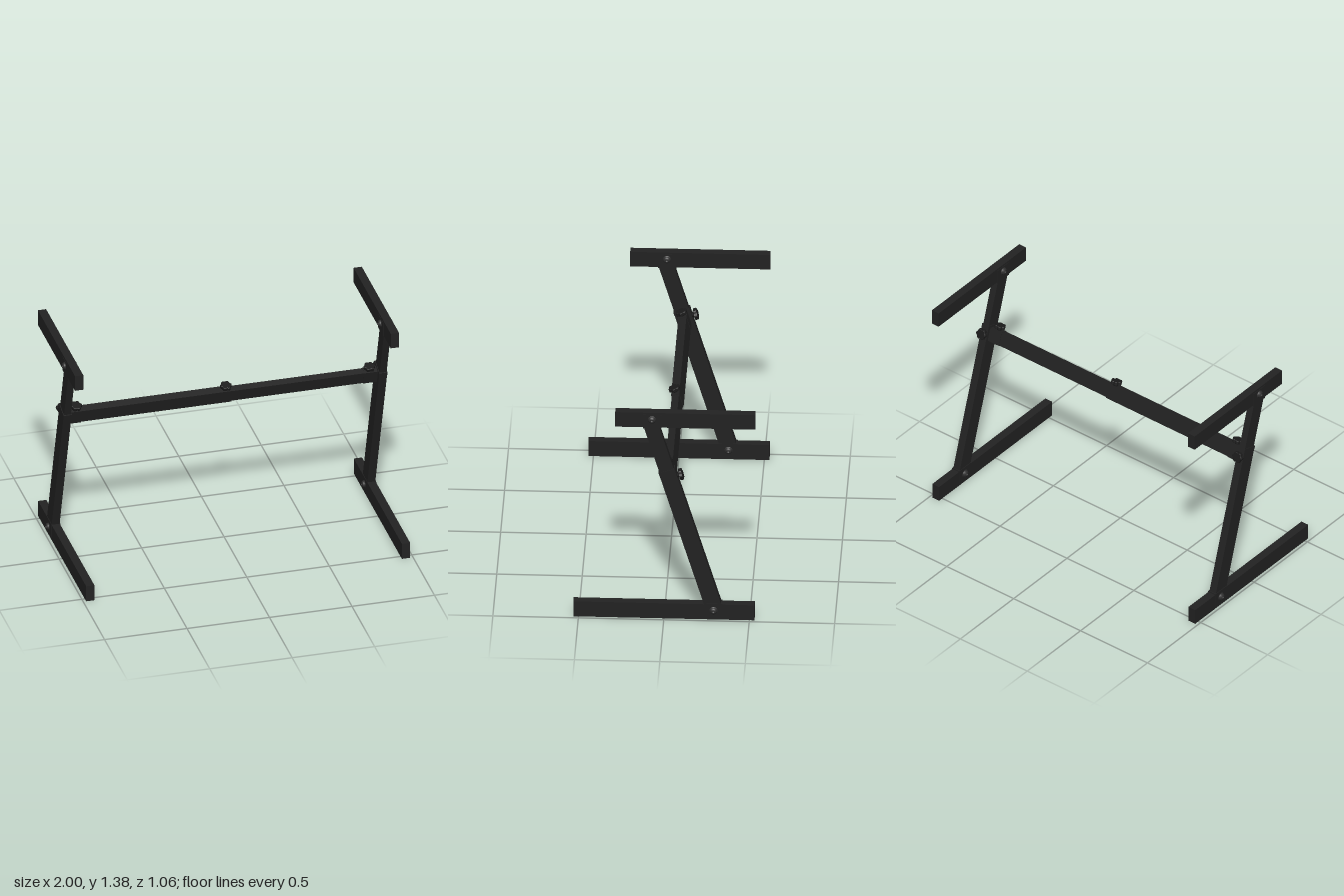
import * as THREE from 'three';

const material = (name, color) => {
  const m = new THREE.MeshStandardMaterial({ color });
  m.name = name;
  return m;
};

export function createModel() {
  const frame = material('black steel', 0x222222);
  const plastic = material('black plastic', 0x1b1b1b);
  const boltMetal = material('dark bolt', 0x2e2e2e);

  const LEAN = THREE.MathUtils.degToRad(16.9); // forward lean of legs and crossbar
  const SIDE_X = 0.957;
  const model = new THREE.Group();
  model.name = 'keyboardStand';

  const add = (parent, name, geometry, mat, x = 0, y = 0, z = 0) => {
    const mesh = new THREE.Mesh(geometry, mat);
    mesh.name = name;
    mesh.position.set(x, y, z);
    parent.add(mesh);
    return mesh;
  };
  const box = (parent, name, w, h, d, x, y, z) =>
    add(parent, name, new THREE.BoxGeometry(w, h, d), frame, x, y, z);

  // Lobed grip outline
  const outline = [];
  for (let i = 0; i < 48; i++) {
    const a = (i / 48) * Math.PI * 2;
    const r = 0.028 + 0.003 * Math.cos(6 * a);
    outline.push(new THREE.Vector2(r * Math.cos(a), r * Math.sin(a)));
  }
  const gripGeometry = new THREE.ExtrudeGeometry(new THREE.Shape(outline), {
    depth: 0.014, bevelEnabled: true, bevelThickness: 0.004, bevelSize: 0.004, bevelSegments: 2,
  });
  gripGeometry.rotateX(-Math.PI / 2);

  // Clamp knob rising along its own +y
  const makeKnob = (name) => {
    const knob = new THREE.Group();
    knob.name = name;
    add(knob, 'knobStem', new THREE.CylinderGeometry(0.018, 0.011, 0.022, 16), plastic, 0, 0.006, 0);
    add(knob, 'knobGrip', gripGeometry, plastic, 0, 0.016, 0);
    return knob;
  };

  // Domed bolt head with a socket, rising along +y
  const boltGeometry = new THREE.LatheGeometry([
    [0.024, 0], [0.024, 0.004], [0.019, 0.004], [0.021, 0.009], [0.017, 0.015],
    [0.01, 0.018], [0.009, 0.018], [0.009, 0.01], [0, 0.01],
  ].map(([r, y]) => new THREE.Vector2(r, y)), 20);

  const addBolts = (parent, y, z) => {
    for (const s of [-1, 1]) {
      const bolt = add(parent, 'bolt', boltGeometry, boltMetal, s * 0.025, y, z);
      bolt.rotation.z = -s * Math.PI / 2;
    }
  };

  // Two side frames: foot, telescopic leg and support arm
  for (const side of [-1, 1]) {
    const support = new THREE.Group();
    support.name = side > 0 ? 'leftSide' : 'rightSide';
    support.position.x = side * SIDE_X;
    model.add(support);

    box(support, 'foot', 0.05, 0.1, 1.06, 0, 0.05, 0);
    box(support, 'supportArm', 0.05, 0.097, 0.82, 0, 1.3265, -0.125);
    box(support, 'footBracket', 0.054, 0.09, 0.108, 0, 0.06, -0.288);
    box(support, 'armBracket', 0.054, 0.09, 0.108, 0, 1.317, 0.068);
    addBolts(support, 0.06, -0.29);
    addBolts(support, 1.33, 0.07);

    const leg = new THREE.Group();
    leg.name = 'leg';
    leg.position.set(0, 0.935, -0.031);
    leg.rotation.x = LEAN;
    support.add(leg);
    box(leg, 'lowerLeg', 0.048, 0.966, 0.097, 0, -0.431, 0);
    box(leg, 'legCollar', 0.05, 0.02, 0.099, 0, 0.044, 0);
    box(leg, 'upperLeg', 0.042, 0.4, 0.087, 0, 0.212, 0);
    const knob = makeKnob('legKnob');
    knob.position.z = -0.048;
    knob.rotation.x = -Math.PI / 2;
    leg.add(knob);
  }

  // Telescopic crossbar, tilted with the legs
  const crossbar = new THREE.Group();
  crossbar.name = 'crossbar';
  crossbar.position.set(0, 0.935, -0.036);
  crossbar.rotation.x = LEAN;
  model.add(crossbar);
  box(crossbar, 'outerBar', 0.985, 0.088, 0.05, -0.4425, 0, 0);
  box(crossbar, 'innerBar', 0.9, 0.08, 0.044, 0.485, 0, 0);
  box(crossbar, 'rightSleeve', 0.08, 0.093, 0.054, -0.9, 0, 0);
  box(crossbar, 'leftSleeve', 0.09, 0.084, 0.05, 0.895, 0, 0);
  for (const [x, y] of [[-0.893, 0.044], [0.015, 0.044], [0.885, 0.042]]) {
    const knob = makeKnob('crossbarKnob');
    knob.position.set(x, y, 0);
    crossbar.add(knob);
  }

  return model;
}
